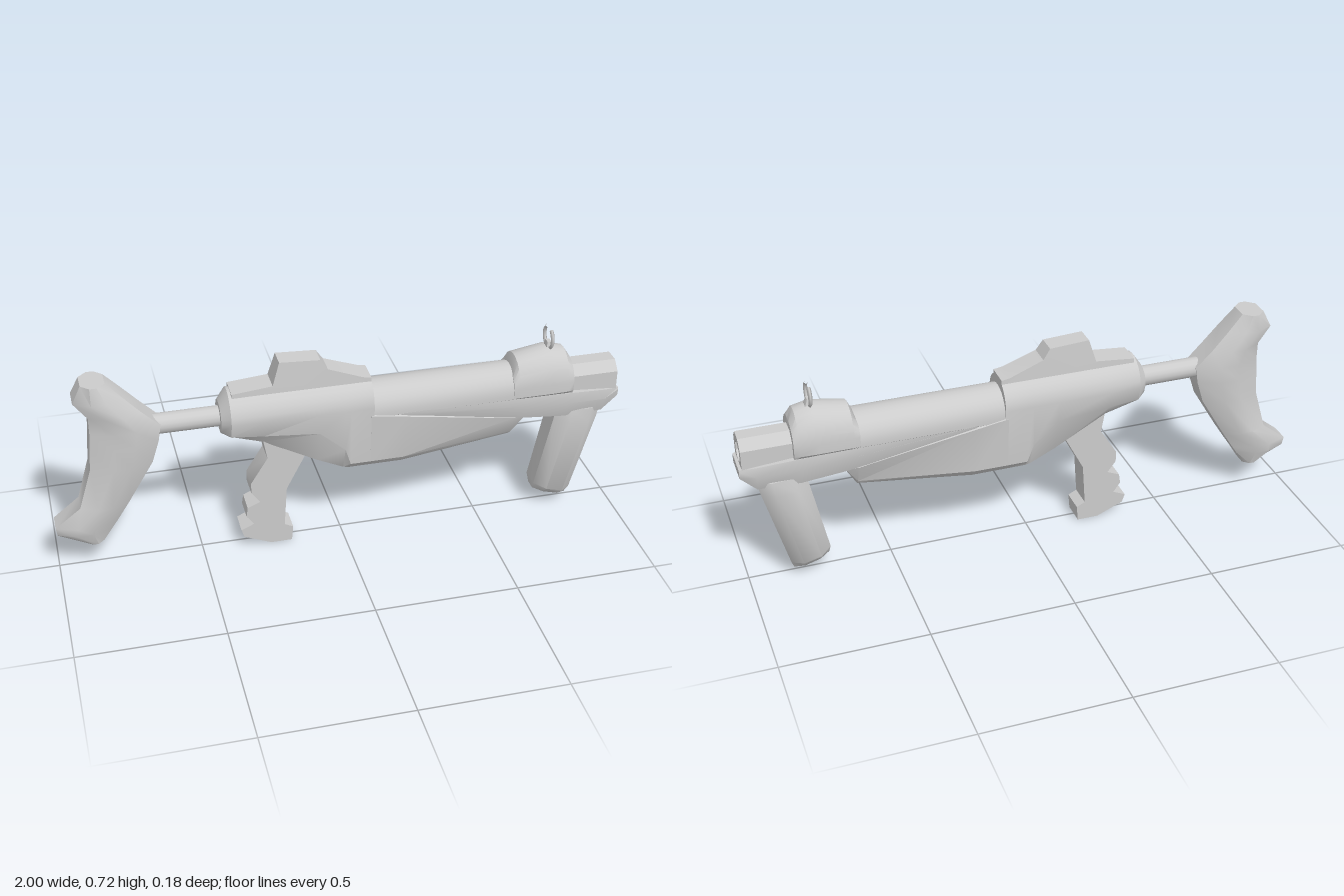
import * as THREE from 'three';
import { toCreasedNormals } from 'three/addons/utils/BufferGeometryUtils.js';

const material = new THREE.MeshStandardMaterial({ color: 0xcccccc });

// Skin a list of equal-length loops of [x, y, z] and close both ends.
function loft(loops, crease = 0.6) {
  const pos = [];
  const tri = (...pts) => pts.forEach((p) => pos.push(...p));
  const n = loops[0].length;
  for (let i = 0; i < loops.length - 1; i++) {
    for (let j = 0; j < n; j++) {
      const k = (j + 1) % n, a = loops[i], b = loops[i + 1];
      tri(a[j], b[j], b[k], a[j], b[k], a[k]);
    }
  }
  [loops[0], loops[loops.length - 1]].forEach((loop, end) => {
    const c = [0, 1, 2].map((d) => loop.reduce((s, p) => s + p[d], 0) / n);
    for (let j = 0; j < n; j++) {
      const p = loop[j], q = loop[(j + 1) % n];
      if (end) tri(c, q, p);
      else tri(c, p, q);
    }
  });
  const geo = new THREE.BufferGeometry();
  geo.setAttribute('position', new THREE.Float32BufferAttribute(pos, 3));
  return toCreasedNormals(geo, crease);
}

// Cross-section at x: half profile of [z, y] from bottom to top, mirrored.
function section(x, half) {
  const other = half.filter(([z]) => z > 1e-6).reverse().map(([z, y]) => [-z, y]);
  return [...half, ...other].map(([z, y]) => [x, y, z]);
}

// Half of a rounded top, from the side up to the crown.
function arc(w, cy, h, steps = 6) {
  return Array.from({ length: steps + 1 }, (_, i) => {
    const a = (i / steps) * Math.PI / 2;
    return [i === steps ? 0 : w * Math.cos(a), cy + h * Math.sin(a)];
  });
}

// Chamfered horizontal slice; y runs from yBack to yFront along x.
function slice(yBack, yFront, x0, x1, w, edge = 0.6, cut = 0.3) {
  const c = (x1 - x0) * cut, e = w * edge;
  return [[x0, -e], [x0 + c, -w], [x1 - c, -w], [x1, -e], [x1, e], [x1 - c, w], [x0 + c, w], [x0, e]]
    .map(([x, z]) => [x, yBack + (yFront - yBack) * (x - x0) / (x1 - x0), z]);
}

// Side outline extruded across z, with half width given by height.
function plate(points, depth, taper = () => 1) {
  const geo = new THREE.ExtrudeGeometry(new THREE.Shape(points.map(([x, y]) => new THREE.Vector2(x, y))),
    { depth, bevelEnabled: false }).translate(0, 0, -depth / 2);
  const p = geo.attributes.position;
  for (let i = 0; i < p.count; i++) p.setZ(i, p.getZ(i) * taper(p.getY(i), p.getX(i)));
  return toCreasedNormals(geo, 0.6);
}

export function createModel() {
  const model = new THREE.Group();
  const add = (name, geo) => {
    const mesh = new THREE.Mesh(geo, material);
    mesh.name = name;
    model.add(mesh);
    return mesh;
  };

  // Shoulder stock: height, back x, front x, half width
  add('stock', loft([
    [0.10, -0.90, -0.84, 0.045], [0.15, -0.995, -0.81, 0.06], [0.18, -1.0, -0.79, 0.063],
    [0.25, -0.91, -0.745, 0.065], [0.40, -0.865, -0.655, 0.068], [0.48, -0.86, -0.63, 0.07],
    [0.54, -0.855, -0.62, 0.07], [0.60, -0.855, -0.68, 0.072], [0.66, -0.90, -0.735, 0.068],
    [0.72, -0.87, -0.79, 0.057],
  ].map(([y, a, b, w]) => slice(y, y, a, b, w, 0.55, 0.35)), 0.7));

  // Stock tube
  add('stockTube', new THREE.CylinderGeometry(0.036, 0.036, 0.28, 16).rotateZ(Math.PI / 2).translate(-0.53, 0.525, 0));

  // Receiver: x, bottom [z, y], crease [z, y], top [half width, centre, height]
  add('receiver', loft([
    [-0.42, [0.03, 0.475], [0.05, 0.49], [0.06, 0.525, 0.055]],
    [-0.39, [0.04, 0.46], [0.07, 0.475], [0.087, 0.53, 0.093]],
    [-0.28, [0.042, 0.425], [0.077, 0.468], [0.09, 0.53, 0.093]],
    [-0.09, [0.048, 0.325], [0.086, 0.455], [0.09, 0.53, 0.093]],
    [0.0, [0.05, 0.284], [0.085, 0.375], [0.09, 0.53, 0.093]],
    [0.02, [0.05, 0.28], [0.078, 0.31], [0.09, 0.53, 0.093]],
    [0.10, [0.05, 0.28], [0.078, 0.31], [0.09, 0.53, 0.093]],
  ].map(([x, b, c, t]) => section(x, [b, c, ...arc(...t)]))));

  // Lower body and tapering handguard
  add('handguard', loft([
    [0.09, [[0.05, 0.28], [0.078, 0.31], [0.089, 0.50], [0.05, 0.52]]],
    [0.21, [[0.05, 0.28], [0.077, 0.31], [0.088, 0.48], [0.05, 0.50]]],
    [0.61, [[0.03, 0.32], [0.05, 0.34], [0.072, 0.405], [0.05, 0.42]]],
    [0.655, [[0.03, 0.395], [0.045, 0.398], [0.062, 0.403], [0.05, 0.42]]],
  ].map(([x, h]) => section(x, h))));

  // Rounded barrel shroud and raised front collar
  add('barrelShroud', loft([0.09, 0.63].map((x) => section(x, [[0.06, 0.47], [0.085, 0.49], ...arc(0.085, 0.505, 0.085)]))));
  add('frontCollar', loft([
    [0.60, 0.086, 0.05], [0.62, 0.089, 0.092], [0.74, 0.089, 0.115], [0.80, 0.087, 0.10], [0.82, 0.082, 0.07],
  ].map(([x, w, h]) => section(x, [[0.07, 0.475], [w, 0.495], ...arc(w, 0.53, h)]))));

  // Rail that widens from a thin wedge into the muzzle support
  add('lowerRail', loft([
    [0.20, 0.475, 0.492, 0.08, 0.086], [0.65, 0.40, 0.49, 0.07, 0.086], [0.80, 0.385, 0.483, 0.068, 0.084],
    [0.945, 0.38, 0.472, 0.052, 0.073], [1.0, 0.435, 0.467, 0.056, 0.06],
  ].map(([x, yb, yt, wb, wt]) => section(x, [[wb, yb], [wt, (yb + yt) / 2 + 0.01], [wt * 0.95, yt]]))));

  // Muzzle with an eight-sided bore
  const muzzle = new THREE.Shape([[-0.06, 0.455], [0.06, 0.455], [0.06, 0.535], [0.027, 0.567], [-0.027, 0.567], [-0.06, 0.535]]
    .map(([x, y]) => new THREE.Vector2(x, y)));
  const ring = (r) => Array.from({ length: 8 }, (_, i) => {
    const a = (i + 0.5) * Math.PI / 4;
    return new THREE.Vector2(r * Math.cos(a), 0.507 + r * Math.sin(a));
  });
  muzzle.holes.push(new THREE.Path(ring(0.037)));
  add('muzzle', new THREE.ExtrudeGeometry(muzzle, { depth: 0.19, bevelEnabled: false })
    .rotateY(Math.PI / 2).translate(0.80, 0, 0));

  // Front grip, angled with a chamfered foot
  add('frontGrip', loft([
    [0.06, 0.023, 0.72, 0.845, 0.04], [0.09, 0.053, 0.717, 0.855, 0.07],
    [0.36, 0.35, 0.773, 0.935, 0.079], [0.41, 0.40, 0.78, 0.947, 0.07],
  ].map((s) => slice(...s, 0.5, 0.28)), 0.8));

  // Pistol grip with finger notches
  add('pistolGrip', plate([
    [-0.28, 0.44], [-0.265, 0.355], [-0.325, 0.26], [-0.325, 0.22], [-0.295, 0.18], [-0.34, 0.16],
    [-0.345, 0.125], [-0.32, 0.09], [-0.365, 0.07], [-0.355, 0.04], [-0.26, 0], [-0.185, 0],
    [-0.18, 0.055], [-0.21, 0.07], [-0.20, 0.22], [-0.135, 0.345], [-0.12, 0.42],
  ], 0.086));

  // Rear sight hump on the receiver
  add('rearSight', plate([
    [-0.38, 0.60], [-0.38, 0.625], [-0.24, 0.638], [-0.215, 0.72], [-0.075, 0.712], [-0.05, 0.675],
    [0.07, 0.63], [0.10, 0.625], [0.10, 0.60],
  ], 0.09, (y) => 1 - 2 * Math.max(0, y - 0.61)));

  // Front sight: small post and two open ring halves
  add('frontSightPost', loft([[0.725, 0.60], [0.738, 0.655], [0.752, 0.655], [0.775, 0.60]]
    .map(([x, top]) => section(x, [[0.025, 0.59], [0.012, top + 0.005]]))));
  for (const side of [-1, 1]) {
    const half = add(side > 0 ? 'sightRingLeft' : 'sightRingRight',
      new THREE.TorusGeometry(0.039, 0.007, 4, 12, 2.3).rotateZ(-1.28));
    half.rotation.y = -side * Math.PI / 2;
    half.position.set(0.745, 0.674, 0);
  }
  return model;
}
